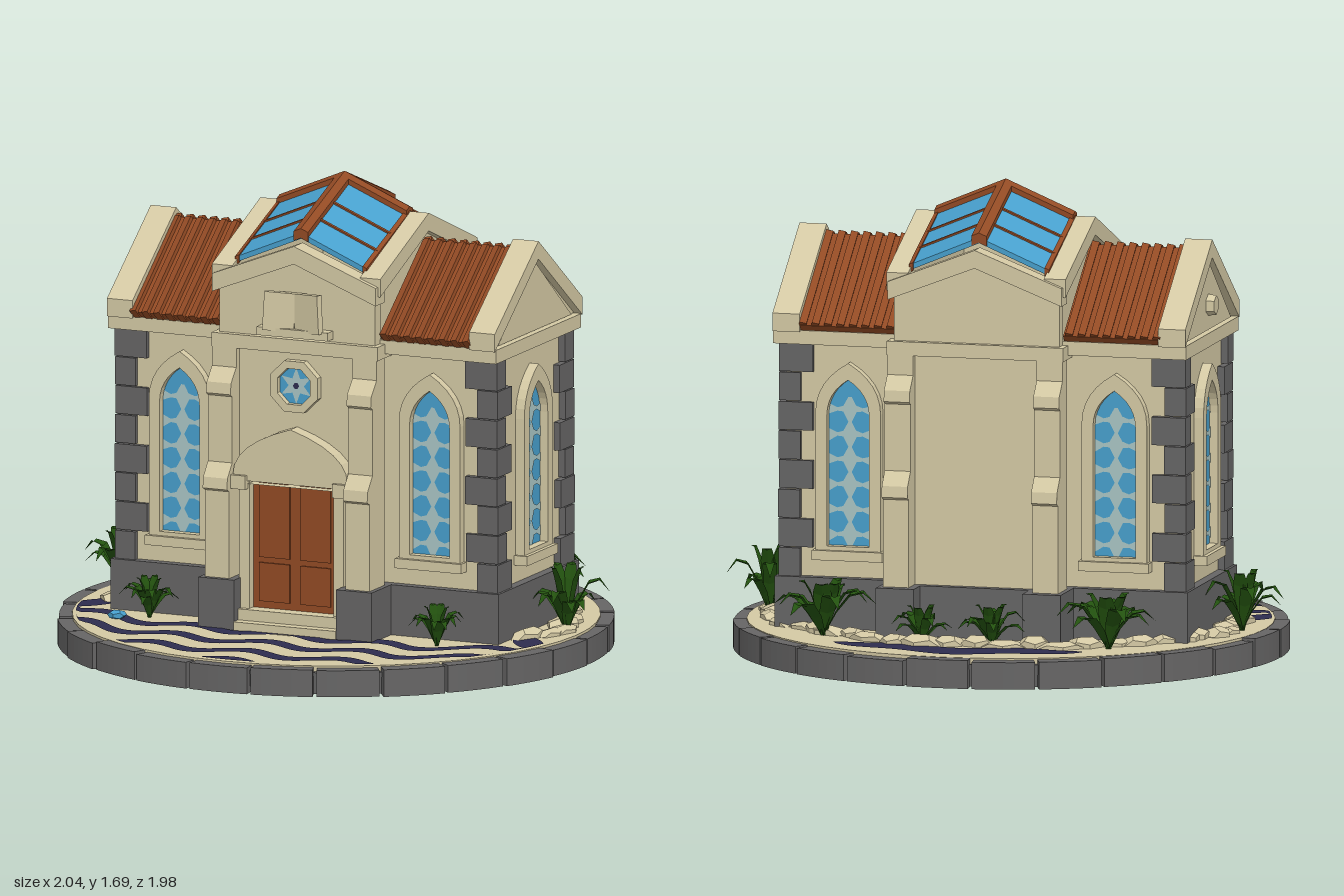
import * as THREE from 'three';

const mat = (name, color, extra = {}) => Object.assign(new THREE.MeshStandardMaterial({ color, flatShading: true, ...extra }), { name });
const M = {
  cream: mat('cream stone', 0xd4c9a4), grey: mat('grey stone', 0x666565),
  brown: mat('rust brown', 0x924a24), blue: mat('blue glass', 0x479fcc, { side: THREE.DoubleSide }),
  pale: mat('pale glass', 0xa9c5c4, { side: THREE.DoubleSide }), navy: mat('navy paving', 0x2d2c4e, { side: THREE.DoubleSide }),
  green: mat('leaf green', 0x23520f, { side: THREE.DoubleSide }),
};
let seed = 7;
const rnd = (a = 0, b = 1) => { seed = (seed * 16807) % 2147483647; return a + (b - a) * seed / 2147483647; };

function add(parent, name, geo, material, x = 0, y = 0, z = 0) {
  const m = new THREE.Mesh(geo, material);
  m.name = name;
  m.position.set(x, y, z);
  parent.add(m);
  return m;
}
// Box given by its extents
const box = (p, name, material, x0, x1, y0, y1, z0, z1) =>
  add(p, name, new THREE.BoxGeometry(x1 - x0, y1 - y0, z1 - z0), material, (x0 + x1) / 2, (y0 + y1) / 2, (z0 + z1) / 2);
const poly = pts => new THREE.Shape(pts.map(p => new THREE.Vector2(...p)));
const extrude = (shape, depth) => new THREE.ExtrudeGeometry(shape, { depth, bevelEnabled: false, curveSegments: 6 });
const sub = (p, name) => { const g = new THREE.Group(); g.name = name; p.add(g); return g; };

// Pointed arch outline
function arch(w, y0, spring, top) {
  const s = new THREE.Shape();
  s.moveTo(-w, y0); s.lineTo(w, y0); s.lineTo(w, spring);
  s.quadraticCurveTo(w, spring + (top - spring) * 0.62, 0, top);
  s.quadraticCurveTo(-w, spring + (top - spring) * 0.62, -w, spring);
  return s;
}
function archFrame(outer, inner, depth) {
  outer.holes.push(inner);
  return extrude(outer, depth);
}

// Lancet window facing +z
function lancet(parent, x, z, turn) {
  const g = sub(parent, 'lancetWindow');
  g.position.set(x, 0, z);
  g.rotation.y = turn;
  add(g, 'windowFrame', archFrame(arch(0.12, 0.36, 0.88, 1.06), arch(0.078, 0.4, 0.87, 1.0), 0.04), M.cream);
  box(g, 'windowSill', M.cream, -0.13, 0.13, 0.35, 0.385, 0, 0.055);
  add(g, 'windowGlass', extrude(arch(0.085, 0.39, 0.87, 1.01), 0.006), M.blue, 0, 0, 0.003);
  for (let i = 0; i < 6; i++) { // pale leading with bulges at the crossings
    const y = 0.44 + i * 0.09, w = 0.078, k = i % 2 ? 0.7 : 1;
    add(g, 'paleLeading', new THREE.ShapeGeometry(poly([[-w, -0.025 * k], [-w * 0.6, -0.006], [-0.025, -0.008], [-0.006, -0.045], [0.006, -0.045],
      [0.025, -0.008], [w * 0.6, -0.006], [w, -0.02], [w, 0.02 * k], [w * 0.6, 0.006], [0.022, 0.015], [0.006, 0.045],
      [-0.006, 0.045], [-0.025, 0.012], [-w * 0.6, 0.006], [-w, 0.02]])), M.pale, 0, y, 0.0115);
  }
}

// Gable wall with a raked coping, facing +z
function gable(parent, name, half, base, eave, apex, depth, z, turn) {
  const g = sub(parent, name);
  g.rotation.y = turn;
  add(g, 'gableWall', extrude(poly([[-half, base], [half, base], [half, eave - 0.03], [0, apex - 0.03], [-half, eave - 0.03]]), depth - 0.03), M.cream, 0, 0, z);
  const o = half + 0.015, t = 0.065;
  add(g, 'coping', extrude(poly([[-o, eave - t], [0, apex - t], [o, eave - t], [o, eave], [0, apex], [-o, eave]]), depth), M.cream, 0, 0, z);
  return g;
}

// Plant made of arched, folded blades
function plant(parent, x, z, size, height) {
  const g = sub(parent, 'plant');
  g.position.set(x, 0.1, z);
  for (let i = 0; i < 13; i++) {
    const inner = i > 8, len = size * (inner ? 0.5 : rnd(0.85, 1.15)), rise = height * (inner ? 1 : rnd(0.5, 0.85));
    const geo = new THREE.PlaneGeometry(1, 1, 2, 4), p = geo.attributes.position;
    for (let k = 0; k < p.count; k++) {
      const u = p.getX(k) * 2, t = p.getY(k) + 0.5;
      const w = size * 0.19 * Math.sin(Math.PI * (0.1 + 0.9 * t));
      p.setXYZ(k, u * w, rise * Math.sin(t * (inner ? 1.7 : 2.3)) + Math.abs(u) * w * 0.35, len * t);
    }
    geo.computeVertexNormals();
    add(g, 'leaf', geo, M.green).rotation.y = i * 2.42 + rnd(0, 0.4);
  }
}

function buildBase(root) {
  const g = sub(root, 'base');
  add(g, 'baseCore', new THREE.CylinderGeometry(0.96, 0.95, 0.08, 48), M.grey, 0, 0.042, 0);
  add(g, 'sandFloor', new THREE.CylinderGeometry(0.94, 0.94, 0.025, 48), M.cream, 0, 0.0905, 0);
  const n = 26;
  for (let i = 0; i < n; i++) { // kerb stones
    const a = i / n * Math.PI * 2, b = a + Math.PI * 2 / n - 0.014, r = rnd(0.985, 1), s = new THREE.Shape();
    s.absarc(0, 0, r, a, b, false);
    s.absarc(0, 0, rnd(0.925, 0.94), b, a, true);
    const geo = new THREE.ExtrudeGeometry(s, { depth: rnd(0.09, 0.103), bevelEnabled: false, curveSegments: 3 });
    add(g, 'kerbStone', geo.rotateX(-Math.PI / 2), M.grey);
  }
  // Wavy paving bands, trimmed to the round floor
  const band = (centre, half, x0, x1) => {
    const geo = new THREE.PlaneGeometry(x1 - x0, 2, 64, 1).rotateX(-Math.PI / 2).translate((x0 + x1) / 2, 0, 0), p = geo.attributes.position;
    for (let k = 0; k < p.count; k++) {
      const x = p.getX(k), lim = Math.sqrt(Math.max(0, 0.86 - x * x));
      p.setZ(k, Math.max(-lim, Math.min(lim, centre(x) + half(x) * p.getZ(k))));
    }
    geo.computeVertexNormals();
    add(g, 'wavePaving', geo, M.navy, 0, 0.107, 0);
  };
  for (const c of [0.45, 0.615, 0.785, 0.945])
    band(x => c - 0.038 * Math.cos(x * 17) - 0.3 * Math.max(0, Math.abs(x) - 0.5), () => 0.036, -0.91, 0.91);
  band(x => -0.8 + 0.45 * x * x - 0.02 * Math.cos(x * 15), x => 0.075 * Math.sqrt(Math.max(0, 1 - (x / 0.46) ** 2)), -0.46, 0.46);
  for (const s of [-1, 1]) band(x => 0.21 + (s * x - 0.85) * 0.8, x => 0.075 * Math.sqrt(Math.max(0, 1 - ((s * x - 0.85) / 0.08) ** 2)), s * 0.85 - 0.08, s * 0.85 + 0.08);
  // Loose flat stones beside and behind the walls
  for (let i = 0; i < 30; i++) {
    const a = Math.PI * (-0.07 + 1.14 * i / 29), geo = new THREE.DodecahedronGeometry(0.065);
    const m = add(g, 'looseStone', geo, M.cream, Math.cos(a) * rnd(0.8, 0.87), 0.105, -0.03 - Math.sin(a) * rnd(0.6, 0.68));
    m.scale.set(rnd(0.8, 1.5), rnd(0.3, 0.6), rnd(0.6, 1));
    m.rotation.y = a + Math.PI / 2;
  }
  const gem = add(g, 'blueTrinket', new THREE.DodecahedronGeometry(0.035), M.blue, -0.66, 0.12, 0.43);
  gem.scale.y = 0.5;
}

function buildWing(b, s) {
  const g = sub(b, s > 0 ? 'leftWing' : 'rightWing');
  const bx = (name, m, x0, x1, ...r) => box(g, name, m, Math.min(s * x0, s * x1), Math.max(s * x0, s * x1), ...r);
  bx('wingWall', M.cream, 0.25, 0.725, 0.1, 1.15, -0.305, 0.305);
  bx('wingPlinth', M.grey, 0.25, 0.76, 0.1, 0.285, -0.34, 0.34);
  bx('wingCornice', M.cream, 0.3, 0.76, 1.125, 1.175, -0.36, 0.36);
  for (const f of [-1, 1]) {
    lancet(g, s * 0.49, f * 0.3, f > 0 ? 0 : Math.PI);
    for (let i = 0; i < 8; i++) { // alternating corner quoins
      const long = i % 2 ? 0.125 : 0.08, deep = i % 2 ? 0.075 : 0.12, e = 0.32 + rnd(0, 0.01);
      bx('quoin', M.grey, 0.75 - long, 0.75, 0.285 + i * 0.105, 0.386 + i * 0.105, f > 0 ? e - deep : -e, f > 0 ? e : deep - e);
    }
    // Ribbed roof slope
    const roof = sub(g, 'roofSlope');
    roof.position.set(s * 0.49, 1.325, f * 0.18);
    roof.rotation.x = f * Math.atan2(0.27, 0.36);
    box(roof, 'roofSlab', M.brown, -0.18, 0.18, -0.03, 0.01, -0.23, 0.23);
    for (let i = 0; i < 8; i++) {
      const rib = box(roof, 'roofRib', M.brown, -0.013, 0.013, -0.02, 0.022, -0.228, 0.235);
      rib.position.x = -0.16 + i * 0.046;
      rib.rotation.z = Math.PI / 12;
    }
  }
  lancet(g, s * 0.72, 0, s * Math.PI / 2);
  const end = gable(g, 'wingGable', 0.355, 1.16, 1.235, 1.505, 0.1, 0.66, s * Math.PI / 2);
  add(end, 'gablePanel', extrude(poly([[-0.31, 1.18], [0.31, 1.18], [0, 1.43]]), 0.015), M.cream, 0, 0, 0.73);
  if (s < 0) add(end, 'gableBoss', new THREE.CylinderGeometry(0.035, 0.04, 0.04, 6).rotateX(Math.PI / 2), M.cream, 0, 1.27, 0.755);
}

function buildTower(b) {
  const g = sub(b, 'centralHall');
  box(g, 'hallWall', M.cream, -0.29, 0.29, 0.1, 1.2, -0.4, 0.4);
  box(g, 'hallCornice', M.cream, -0.325, 0.325, 1.11, 1.16, -0.425, 0.425);
  box(g, 'rearPlinth', M.grey, -0.32, 0.32, 0.1, 0.285, -0.43, 0);
  for (const f of [-1, 1]) {
    gable(g, 'hallGable', 0.305, 1.15, 1.375, 1.5, 0.075, 0.355, f > 0 ? 0 : Math.PI);
    gable(g, 'hallSideGable', 0.395, 1.15, 1.405, 1.57, 0.08, 0.25, f * Math.PI / 2);
    for (const s of [-1, 1]) { // stepped buttresses
      const prof = [[0.36, 0.28], [0.485, 0.28], [0.485, 0.6], [0.505, 0.61], [0.5, 0.65], [0.46, 0.7], [0.46, 0.94], [0.475, 0.95], [0.47, 0.99], [0.425, 1.04], [0.425, 1.15], [0.36, 1.15]];
      const geo = extrude(poly(prof), 0.095).translate(0, 0, -0.0475).rotateY(-f * Math.PI / 2);
      add(g, 'buttress', geo, M.cream, s * 0.275);
      box(g, 'buttressPlinth', M.grey, s * 0.27 - 0.07, s * 0.27 + 0.07, 0.1, 0.285, f > 0 ? 0.3 : -0.52, f > 0 ? 0.505 : -0.3);
    }
  }
  // Doorway, steps and arch moulding
  add(g, 'door', extrude(arch(0.17, 0.17, 0.64, 0.79), 0.015), M.brown, 0, 0, 0.4);
  for (const s of [-1, 1]) {
    for (const [y0, y1] of [[0.2, 0.34], [0.36, 0.67]]) box(g, 'doorPanel', M.brown, s * 0.08 - 0.06, s * 0.08 + 0.06, y0, y1, 0.41, 0.422);
    box(g, 'doorJamb', M.cream, s * 0.185 - 0.02, s * 0.185 + 0.02, 0.16, 0.64, 0.39, 0.45);
    box(g, 'archImpost', M.cream, s * 0.205 - 0.035, s * 0.205 + 0.035, 0.61, 0.66, 0.39, 0.475);
  }
  add(g, 'doorArch', archFrame(arch(0.225, 0.64, 0.66, 0.84), arch(0.167, 0.63, 0.645, 0.79), 0.065), M.cream, 0, 0, 0.395);
  box(g, 'upperStep', M.cream, -0.2, 0.2, 0.1, 0.175, 0.38, 0.47);
  box(g, 'lowerStep', M.cream, -0.2, 0.2, 0.1, 0.135, 0.38, 0.51);
  // Octagonal rose window
  const oct = r => poly(Array.from({ length: 8 }, (_, i) => [r * Math.cos((i + 0.5) * Math.PI / 4), r * Math.sin((i + 0.5) * Math.PI / 4)]));
  const ring = oct(0.1);
  ring.holes.push(oct(0.07));
  add(g, 'roseFrame', extrude(ring, 0.035), M.cream, 0, 0.99, 0.395);
  add(g, 'roseGlass', extrude(oct(0.075), 0.006), M.blue, 0, 0.99, 0.4);
  const star = Array.from({ length: 12 }, (_, i) => { const r = i % 2 ? 0.03 : 0.066; return [r * Math.sin(i * Math.PI / 6), r * Math.cos(i * Math.PI / 6)]; });
  add(g, 'roseStar', new THREE.ShapeGeometry(poly(star)), M.pale, 0, 0.99, 0.409);
  add(g, 'roseCentre', new THREE.CircleGeometry(0.012, 6), M.navy, 0, 0.99, 0.411);
  // Open book relief
  box(g, 'bookPanel', M.cream, -0.14, 0.14, 1.17, 1.2, 0.39, 0.445);
  for (const s of [-1, 1]) {
    const page = box(g, 'bookPage', M.cream, -0.057, 0.057, 1.19, 1.33, -0.012, 0.012);
    page.position.set(s * 0.056, 1.26, 0.43);
    page.rotation.set(0, -s * 0.3, s * 0.06);
  }
  // Skylight: every piece follows the four-sided slope
  const piece = (name, m, x0, x1, z0, z1, t, lift) => {
    const geo = new THREE.BoxGeometry(x1 - x0, t, z1 - z0, 2, 1, 2).translate((x0 + x1) / 2, 0, (z0 + z1) / 2), p = geo.attributes.position;
    for (let k = 0; k < p.count; k++) p.setY(k, p.getY(k) + 1.665 + lift - 0.42 * Math.abs(p.getX(k)) - 0.38 * Math.abs(p.getZ(k)));
    geo.computeVertexNormals();
    add(g, name, geo, m);
  };
  piece('skylightGlass', M.blue, -0.25, 0.25, -0.365, 0.365, 0.02, 0);
  piece('ridgeBeam', M.brown, -0.028, 0.028, -0.37, 0.37, 0.035, 0.012);
  piece('crossBeam', M.brown, -0.255, 0.255, -0.028, 0.028, 0.035, 0.012);
  for (const s of [-1, 1]) {
    piece('skylightEdge', M.brown, s * 0.25 - 0.008, s * 0.25 + 0.008, -0.37, 0.37, 0.03, 0);
    for (const z of [0.15, 0.26]) piece('glazingBar', M.brown, -0.25, 0.25, s * z - 0.004, s * z + 0.004, 0.012, 0.01);
  }
}

export function createModel() {
  const root = new THREE.Group();
  root.name = 'chapelOnRoundBase';
  buildBase(root);
  const b = sub(root, 'building');
  b.position.z = -0.07;
  for (const s of [-1, 1]) buildWing(b, s);
  buildTower(b);
  // x, z, spread, height
  for (const p of [[-0.52, -0.6, 0.17, 0.2], [-0.1, -0.64, 0.12, 0.15], [0.15, -0.66, 0.11, 0.14], [0.54, -0.56, 0.18, 0.2],
    [-0.87, -0.07, 0.14, 0.22], [0.87, -0.07, 0.14, 0.24], [-0.57, 0.35, 0.1, 0.15], [0.57, 0.38, 0.1, 0.15]]) plant(root, ...p);
  return root;
}
